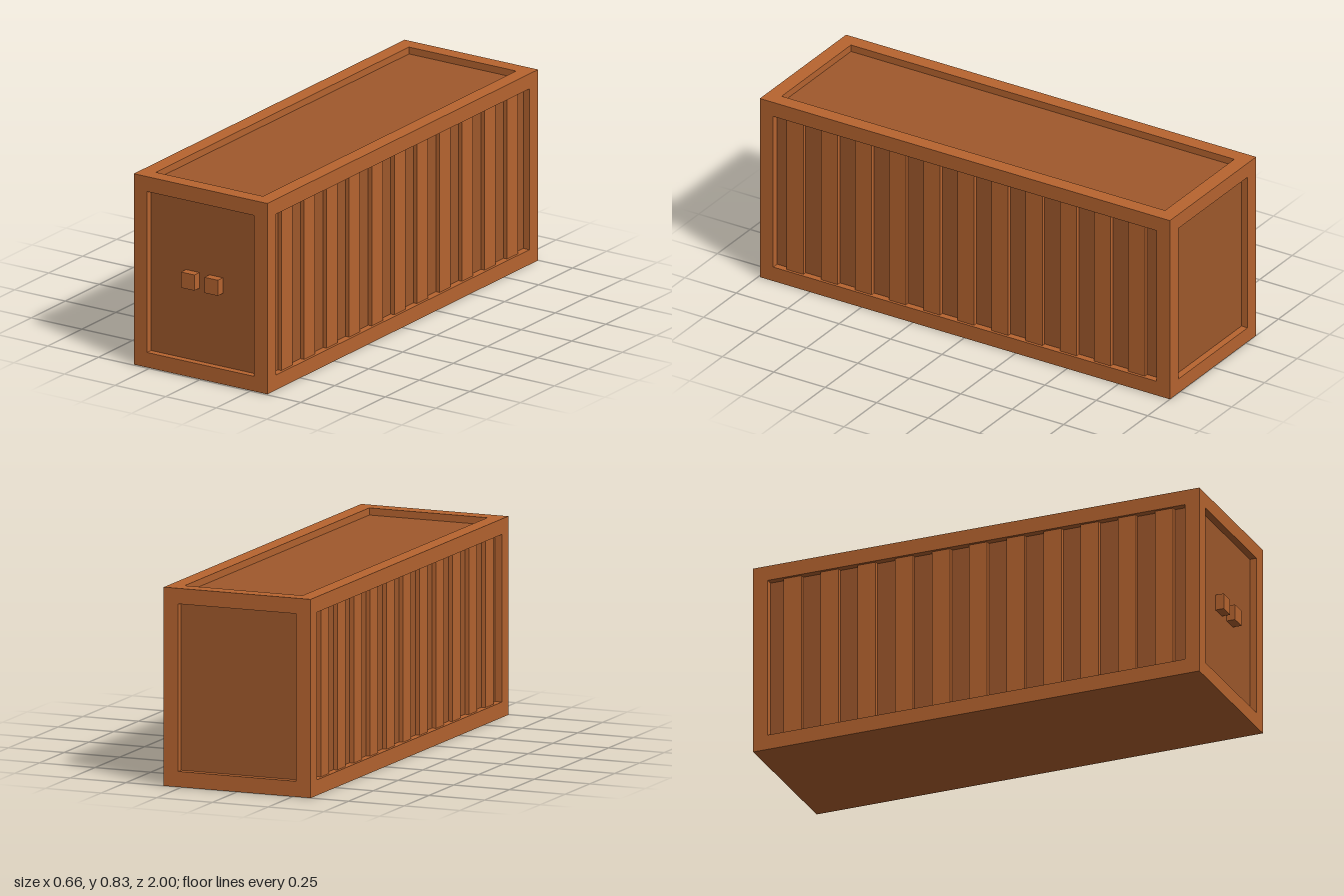
import * as THREE from 'three';

const W = 0.66, H = 0.83, BACK = -1, FRONT = 0.993; // outer size
const BEAM = 0.065, DEPTH = 0.03;                   // frame width, panel recess
const L = FRONT - BACK, MID = (FRONT + BACK) / 2;

export function createModel() {
  const model = new THREE.Group();
  model.name = 'shippingContainer';
  const frameMat = new THREE.MeshStandardMaterial({ color: 0xb86530 });
  const panelMat = new THREE.MeshStandardMaterial({ color: 0xa0592c });

  function box(parent, name, size, pos, mat = frameMat) {
    const mesh = new THREE.Mesh(new THREE.BoxGeometry(...size), mat);
    mesh.name = name;
    mesh.position.set(...pos);
    parent.add(mesh);
  }
  function group(name) {
    const g = new THREE.Group();
    g.name = name;
    model.add(g);
    return g;
  }

  // Frame: solid floor, corner posts and top rails
  const frame = group('frame');
  box(frame, 'floor', [W, BEAM, L], [0, BEAM / 2, MID]);
  const px = (W - BEAM) / 2, pz = (L - BEAM) / 2, railY = H - BEAM / 2;
  for (const s of [-1, 1]) {
    for (const t of [-1, 1]) {
      box(frame, 'cornerPost', [BEAM, H - BEAM, BEAM], [s * px, (H + BEAM) / 2, MID + t * pz]);
    }
    box(frame, 'sideTopRail', [BEAM, BEAM, L - 2 * BEAM], [s * px, railY, MID]);
    box(frame, 'endTopRail', [W - 2 * BEAM, BEAM, BEAM], [0, railY, MID + s * pz]);
  }

  // Recessed walls, doors and roof as one inner body
  const bodyTop = H - DEPTH, bodyW = W - 2 * DEPTH;
  box(model, 'recessedPanels', [bodyW, bodyTop - BEAM / 2, L - 2 * DEPTH],
    [0, (bodyTop + BEAM / 2) / 2, MID], panelMat);

  // Vertical ribs along both long walls
  const ribs = group('wallRibs');
  const ribDepth = 0.018, ribH = H - 2 * BEAM;
  for (const s of [-1, 1]) {
    for (let i = -5; i <= 5; i++) {
      box(ribs, 'rib', [ribDepth, ribH, 0.081], [s * (bodyW + ribDepth) / 2, H / 2, i * 0.166]);
    }
  }

  // Pair of door handles on the front
  const doorZ = FRONT - DEPTH, handles = group('doorHandles');
  for (const x of [-0.059, 0.057]) {
    box(handles, 'handle', [0.067, 0.068, 1 - doorZ], [x, 0.417, (1 + doorZ) / 2]);
  }
  return model;
}
